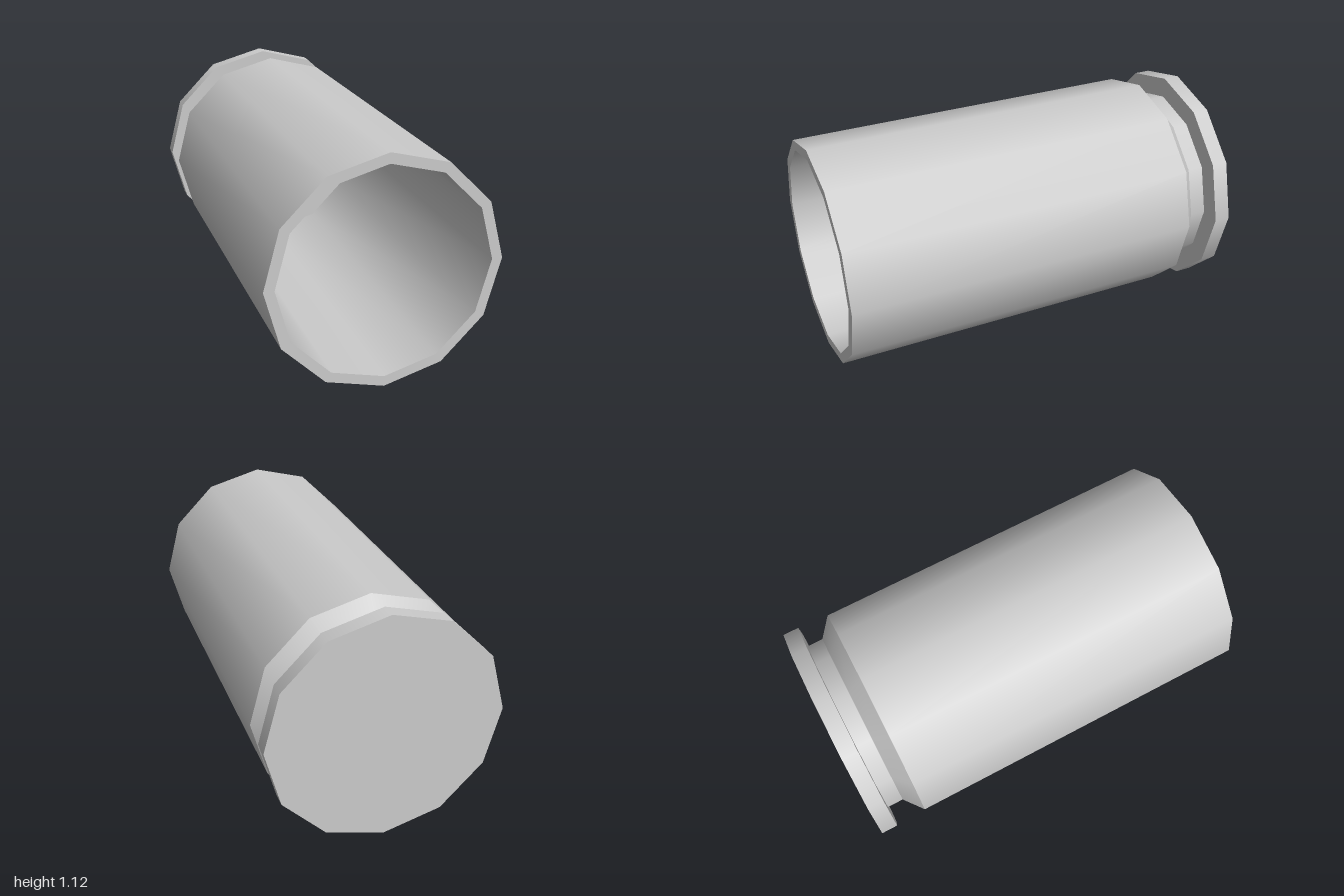
import * as THREE from 'three';
import { mergeGeometries } from 'three/addons/utils/BufferGeometryUtils.js';

const SIDES = 12;
const RIM = 0.5625, BODY = 0.555, BORE = 0.505, GROOVE = 0.46;

// Turns a [radius, z] profile around z: smooth around, sharp between bands
function turned(name, profile, material) {
  const bands = [];
  for (let i = 0; i < profile.length - 1; i++) {
    const points = [profile[i], profile[i + 1]].map(([r, z]) => new THREE.Vector2(r, z));
    bands.push(new THREE.LatheGeometry(points, SIDES));
  }
  const geometry = mergeGeometries(bands);
  geometry.rotateX(Math.PI / 2);
  const mesh = new THREE.Mesh(geometry, material);
  mesh.name = name;
  return mesh;
}

export function createModel() {
  const material = new THREE.MeshStandardMaterial({ color: 0xcccccc });
  const group = new THREE.Group();
  group.name = 'casing';

  // Flat base with its rim
  group.add(turned('baseRim', [[0, -1], [RIM, -1], [RIM, -0.92], [GROOVE, -0.92]], material));
  // Narrow groove and the bevel widening to the body
  group.add(turned('extractorGroove', [[GROOVE, -0.92], [GROOVE, -0.84], [BODY, -0.765]], material));
  // Hollow body: outer wall, mouth, bore and floor
  group.add(turned('hollowBody',
    [[BODY, -0.765], [BODY, 1], [BORE, 1], [BORE, -0.765], [0, -0.765]], material));

  group.position.y = RIM;
  return group;
}
